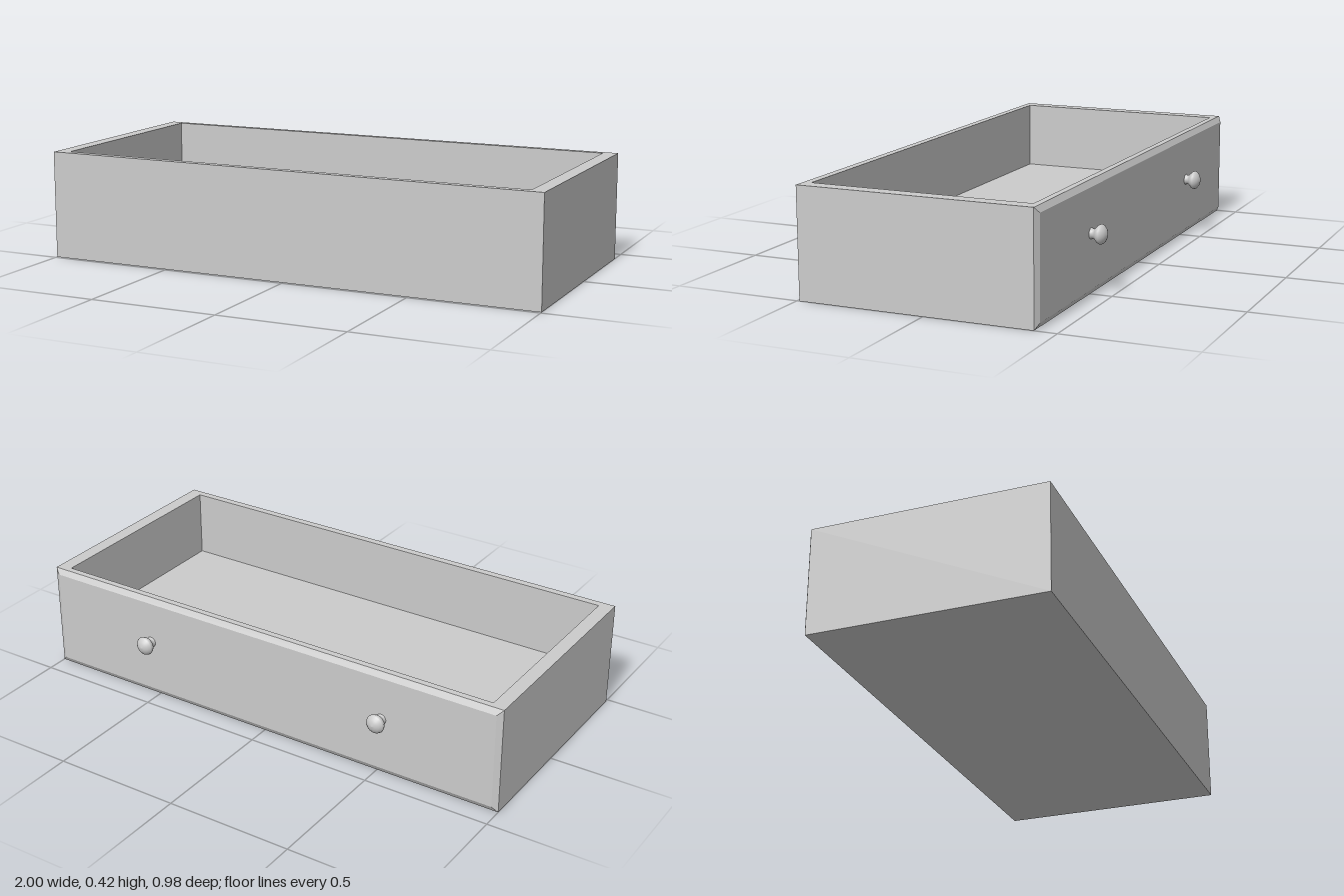
import * as THREE from 'three';

const material = new THREE.MeshStandardMaterial({ color: 0xcccccc });

function addMesh(parent, name, geometry) {
  const mesh = new THREE.Mesh(geometry, material);
  mesh.name = name;
  parent.add(mesh);
  return mesh;
}

// Rectangle outline on the ground plane, given in x and z
function rectangle(Type, x, zBack, zFront) {
  return new Type([[-x, -zFront], [x, -zFront], [x, -zBack], [-x, -zBack]]
    .map(([a, b]) => new THREE.Vector2(a, b)));
}

export function createModel() {
  const drawer = new THREE.Group();
  drawer.name = 'drawer';
  const height = 0.42, back = -0.415, front = 0.49, face = -0.428;

  // Four walls as one rectangular ring
  const ring = rectangle(THREE.Shape, 1, back, front);
  ring.holes.push(rectangle(THREE.Path, 0.945, -0.39, 0.46));
  const walls = new THREE.ExtrudeGeometry(ring, { depth: height, bevelEnabled: false });
  addMesh(drawer, 'walls', walls.rotateX(-Math.PI / 2));

  // Thick floor filling the ring up to the inner bottom
  const floor = new THREE.BoxGeometry(1.89, 0.15, 0.85);
  addMesh(drawer, 'floor', floor).position.set(0, 0.075, 0.035);

  // Drawer face panel: a thin box whose outer side is drawn in to form a chamfer
  const depth = back - face, inset = 0.022;
  let panel = new THREE.BoxGeometry(2, height, depth);
  const p = panel.attributes.position;
  for (let i = 0; i < p.count; i++) {
    if (p.getZ(i) < 0) {
      p.setX(i, p.getX(i) - Math.sign(p.getX(i)) * inset);
      p.setY(i, p.getY(i) - Math.sign(p.getY(i)) * inset);
    }
  }
  panel = panel.toNonIndexed();
  panel.computeVertexNormals();
  addMesh(drawer, 'facePanel', panel).position.set(0, height / 2, (back + face) / 2);

  // Turned knobs: radius and distance out from the panel
  const profile = [
    [0.021, 0], [0.018, 0.006], [0.018, 0.014], [0.024, 0.02], [0.033, 0.028],
    [0.037, 0.038], [0.034, 0.046], [0.024, 0.055], [0.012, 0.06], [0, 0.062],
  ].map(([r, d]) => new THREE.Vector2(r, d));
  const knob = new THREE.LatheGeometry(profile, 24).rotateX(-Math.PI / 2);
  for (const [name, x] of [['rightKnob', -0.52], ['leftKnob', 0.525]]) {
    addMesh(drawer, name, knob).position.set(x, 0.23, face);
  }
  return drawer;
}
